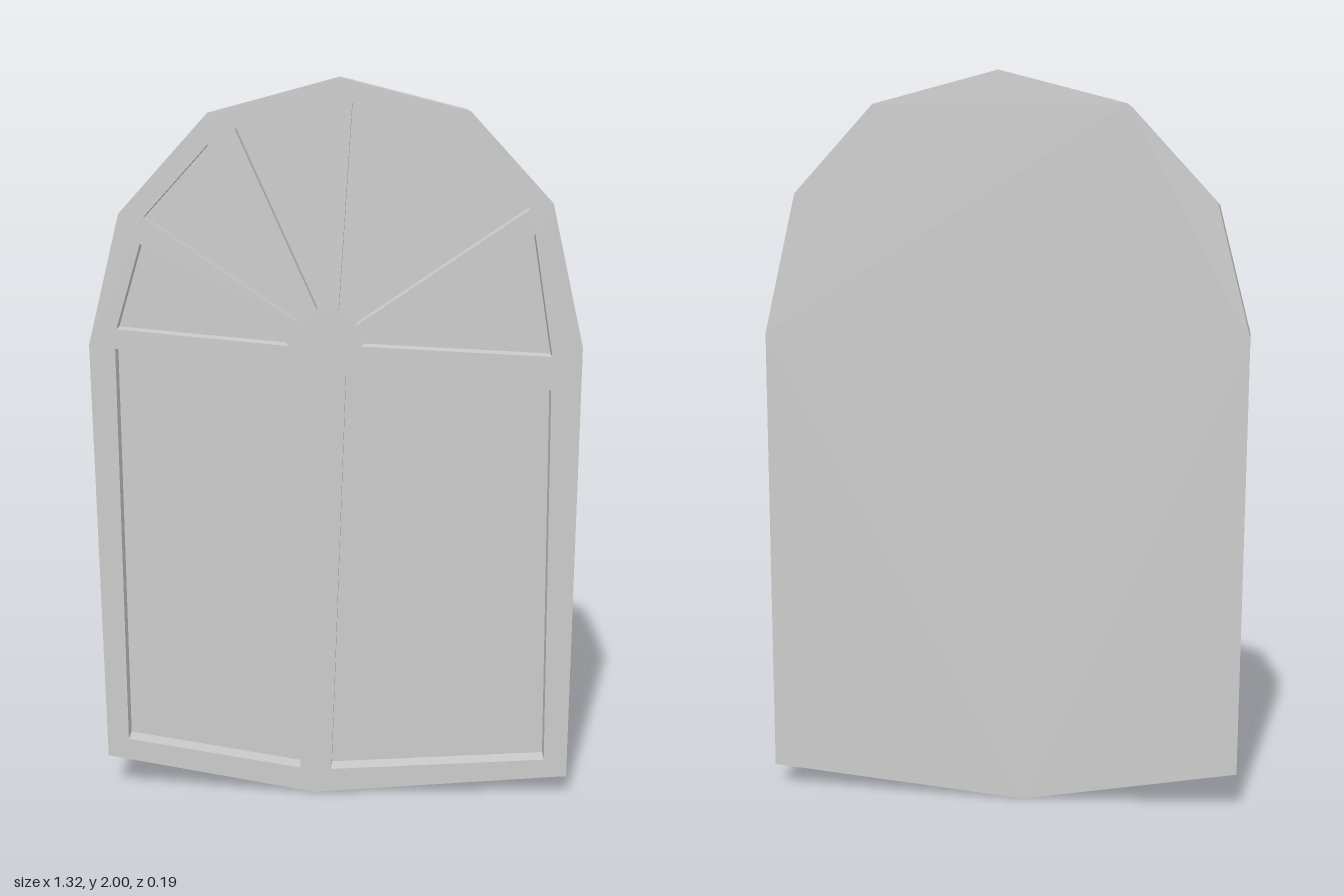
import * as THREE from 'three';

const FRONT = 0.095, BACK = -0.095, FLOOR = 0.045;

// All loops run clockwise as seen from the front.
const outline = [
  [-0.66, 1.3], [-0.57, 1.65], [-0.33, 1.91], [0.01, 2], [0.35, 1.915], [0.57, 1.68],
  [0.66, 1.3], [0.66, 0.06], [-0.06, 0], [-0.65, 0.105],
];
const lowerPanes = [
  [[-0.59, 1.29], [-0.04, 1.235], [-0.1, 0.075], [-0.59, 0.157]],
  [[0.03, 1.235], [0.58, 1.185], [0.595, 0.11], [-0.01, 0.072]],
];
const fanPanes = [
  [[-0.585, 1.343], [-0.515, 1.572], [-0.12, 1.3]],
  [[-0.505, 1.64], [-0.33, 1.83], [-0.095, 1.36]],
  [[-0.26, 1.87], [-0.02, 1.935], [-0.047, 1.395]],
  [[0.045, 1.935], [0.28, 1.885], [0.01, 1.395]],
  [[0.33, 1.83], [0.51, 1.665], [0.055, 1.355]],
  [[0.525, 1.6], [0.58, 1.275], [0.067, 1.3]],
];

const toVectors = (loop) => loop.map(([x, y]) => new THREE.Vector2(x, y));

// Flat face over a loop, optionally pierced by holes
function face(loop, z, holes = []) {
  const shape = new THREE.Shape(toVectors(loop));
  shape.holes = holes.map((h) => new THREE.Path(toVectors(h)));
  return new THREE.ShapeGeometry(shape).translate(0, 0, z);
}

// Band of flat quads along a closed loop; clockwise loops face inward
function wall(loop, z0, z1) {
  const positions = [];
  loop.forEach(([ax, ay], i) => {
    const [bx, by] = loop[(i + 1) % loop.length];
    positions.push(ax, ay, z0, bx, by, z0, bx, by, z1, ax, ay, z0, bx, by, z1, ax, ay, z1);
  });
  const geometry = new THREE.BufferGeometry();
  geometry.setAttribute('position', new THREE.Float32BufferAttribute(positions, 3));
  geometry.computeVertexNormals();
  return geometry;
}

export function createModel() {
  const model = new THREE.Group();
  model.name = 'archedWindow';
  const material = new THREE.MeshStandardMaterial({ color: 0xcccccc, flatShading: true });
  const add = (parent, name, geometry) => {
    const mesh = new THREE.Mesh(geometry, material);
    mesh.name = name;
    parent.add(mesh);
  };

  // Frame: pierced front, outer edge and plain back
  const frame = new THREE.Group();
  frame.name = 'frame';
  model.add(frame);
  add(frame, 'frameFront', face(outline, FRONT, [...lowerPanes, ...fanPanes]));
  add(frame, 'frameEdge', wall([...outline].reverse(), BACK, FRONT));
  const mirrored = outline.map(([x, y]) => [-x, y]);
  add(frame, 'frameBack', face(mirrored, -BACK).rotateY(Math.PI));

  // Recessed panes with their reveals
  const addPanes = (name, panes) => panes.forEach((loop, i) => {
    const pane = new THREE.Group();
    pane.name = `${name}${i + 1}`;
    add(pane, 'glass', face(loop, FLOOR));
    add(pane, 'reveal', wall(loop, FLOOR, FRONT));
    model.add(pane);
  });
  addPanes('lowerPane', lowerPanes);
  addPanes('fanPane', fanPanes);

  return model;
}
